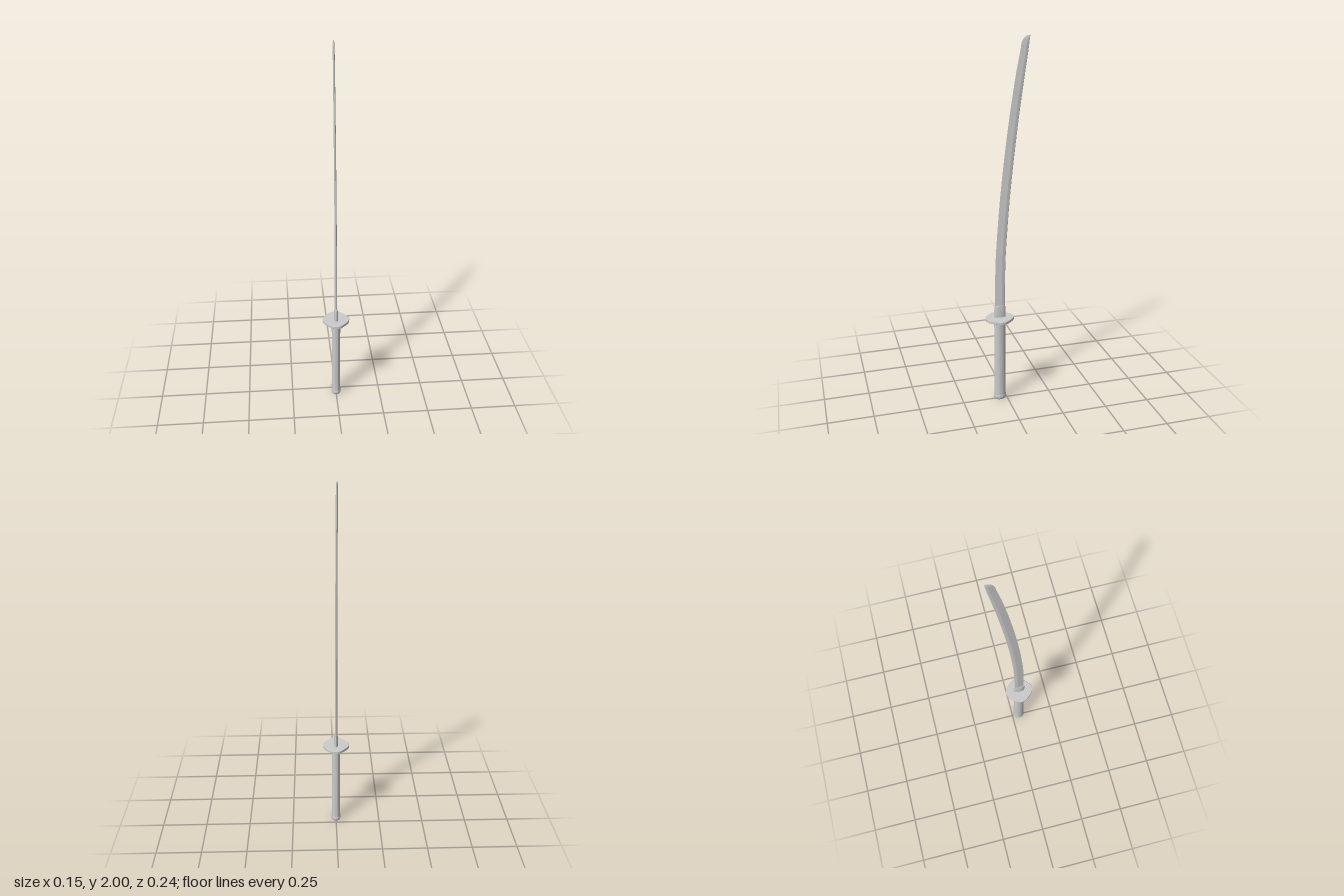
import * as THREE from 'three';
import { toCreasedNormals } from 'three/addons/utils/BufferGeometryUtils.js';

const material = new THREE.MeshStandardMaterial({ color: 0xcccccc });
const AXIS_Z = 0.04; // centre line of grip and guard

function addMesh(group, name, geometry) {
  const mesh = new THREE.Mesh(geometry, material);
  mesh.name = name;
  group.add(mesh);
  return mesh;
}

// Skin rings of equal point count, listed bottom to top, each anticlockwise from above.
function loft(rings, crease) {
  const n = rings[0].length, index = [];
  for (let i = 0; i < rings.length - 1; i++) {
    for (let j = 0; j < n; j++) {
      const k = (j + 1) % n, a = i * n + j, b = i * n + k;
      index.push(a, b, b + n, a, b + n, a + n);
    }
  }
  const top = (rings.length - 1) * n;
  for (let j = 1; j < n - 1; j++) {
    index.push(0, j + 1, j, top, top + j, top + j + 1);
  }
  const geometry = new THREE.BufferGeometry();
  geometry.setAttribute('position', new THREE.Float32BufferAttribute(rings.flat(2), 3));
  geometry.setIndex(index);
  return toCreasedNormals(geometry, crease);
}

// Curved single-edged blade: edge and spine lines are paired point by point as (z, y).
function bladeGeometry() {
  const line = (points) => new THREE.SplineCurve(points.map((p) => new THREE.Vector2(...p)));
  const edge = line([[0.068, 0.5], [0.063, 0.8], [0.051, 1], [0.034, 1.2], [0.012, 1.4],
    [-0.014, 1.6], [-0.045, 1.8], [-0.068, 1.92], [-0.075, 1.96], [-0.086, 1.985], [-0.103, 1.998]]);
  const spine = line([[0.012, 0.5], [0.008, 0.8], [-0.003, 1], [-0.019, 1.2], [-0.04, 1.4],
    [-0.064, 1.6], [-0.092, 1.8], [-0.11, 1.92], [-0.115, 1.96], [-0.118, 1.985], [-0.12, 2]]);
  // half section: thickness factor, position from edge to spine
  const section = [[0, 0], [1, 0.66], [0.7, 0.95], [0, 1], [-0.7, 0.95], [-1, 0.66]];
  const rings = [];
  const steps = 60;
  for (let i = 0; i <= steps; i++) {
    const t = i / steps;
    const e = edge.getPoint(t), s = spine.getPoint(t);
    const w = (0.0068 - 0.0025 * t) * (t > 0.9 ? 1 - 6 * (t - 0.9) : 1);
    rings.push(section.map(([x, f]) => {
      const p = e.clone().lerp(s, f);
      return [x * w, p.y, p.x];
    }));
  }
  return loft(rings, 0.25);
}

// Lens-shaped collar that narrows at the top where it grips the blade.
function collarGeometry() {
  const ring = (y, hx, hz) => Array.from({ length: 24 }, (_, j) => {
    const a = (j / 24) * Math.PI * 2;
    return [hx * Math.sin(a), y, 0.0395 + hz * Math.cos(a)];
  });
  return loft([ring(0.495, 0.011, 0.032), ring(0.55, 0.0105, 0.032), ring(0.57, 0.0075, 0.03)], 0.6);
}

// Four-lobed guard plate lying flat.
function guardGeometry() {
  const points = [];
  for (let i = 0; i < 64; i++) {
    const a = (i / 64) * Math.PI * 2;
    const r = 0.0725 + 0.0035 * Math.cos(4 * a);
    points.push(new THREE.Vector2(0.965 * r * Math.cos(a), 1.035 * r * Math.sin(a)));
  }
  const geometry = new THREE.ExtrudeGeometry(new THREE.Shape(points), {
    depth: 0.013, bevelThickness: 0.002, bevelSize: 0.002, bevelOffset: -0.002, bevelSegments: 1,
  });
  geometry.rotateX(-Math.PI / 2).translate(0, 0.4885, AXIS_Z);
  return toCreasedNormals(geometry, 0.6);
}

// Oval solid turned from a (radius, y) profile.
function ovalGeometry(profile) {
  const geometry = new THREE.LatheGeometry(profile.map((p) => new THREE.Vector2(...p)), 32);
  geometry.scale(0.77, 1, 1).translate(0, 0, AXIS_Z);
  return toCreasedNormals(geometry, 0.6);
}

export function createModel() {
  const sword = new THREE.Group();
  sword.name = 'curvedSword';

  addMesh(sword, 'blade', bladeGeometry());
  addMesh(sword, 'bladeCollar', collarGeometry());
  addMesh(sword, 'guard', guardGeometry());
  addMesh(sword, 'grip', ovalGeometry([[0, 0.02], [0.032, 0.02], [0.0315, 0.1], [0.0305, 0.3], [0.031, 0.488], [0, 0.488]]));
  // end cap with a rounded lower rim
  addMesh(sword, 'pommel', ovalGeometry([[0, 0], [0.026, 0], [0.031, 0.004], [0.0335, 0.01],
    [0.0335, 0.026], [0.032, 0.029], [0, 0.029]]));

  return sword;
}
